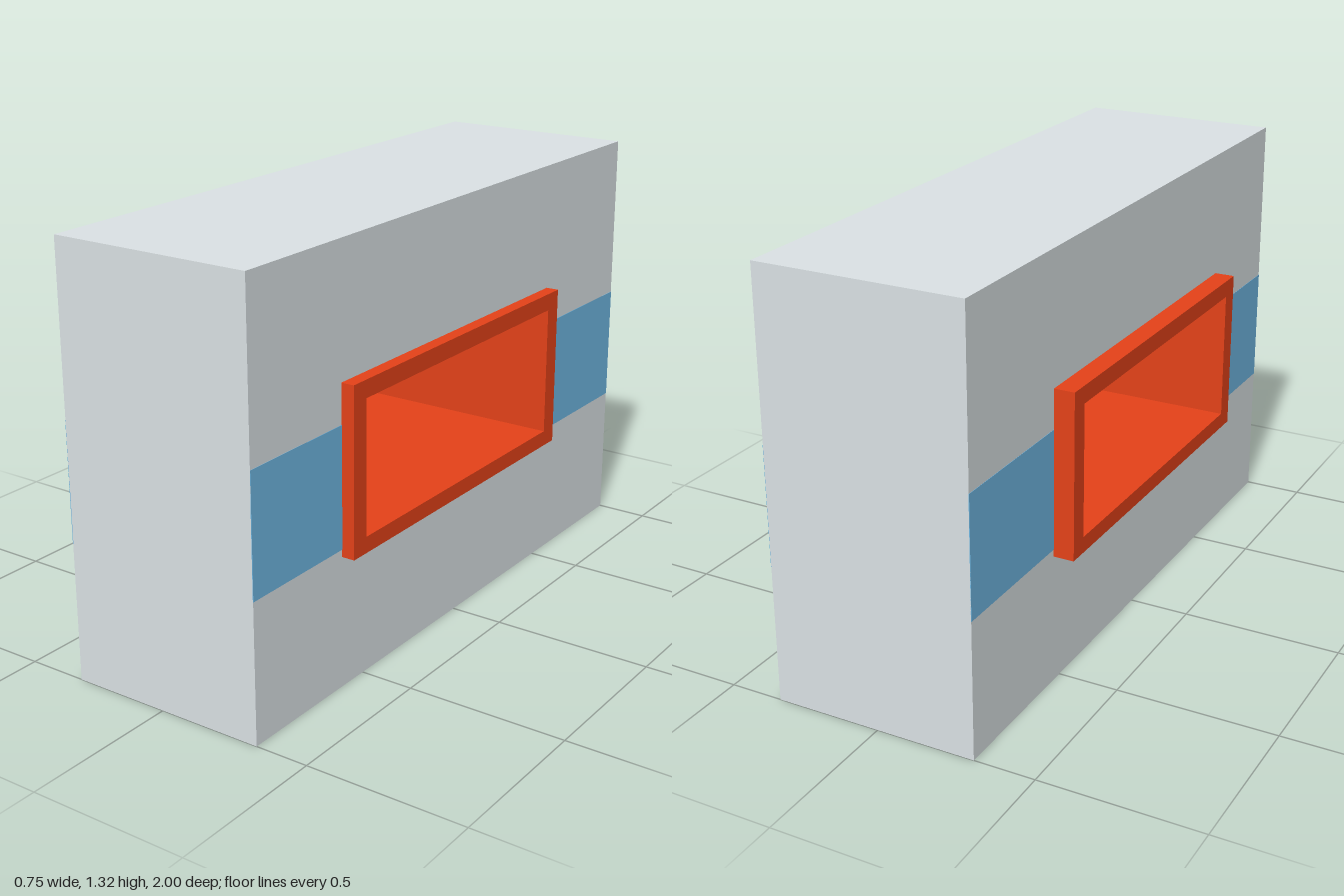
import * as THREE from 'three';

const wallGrey = new THREE.MeshStandardMaterial({ name: 'wallGrey', color: 0xdbe2e5 });
const stripeBlue = new THREE.MeshStandardMaterial({ name: 'stripeBlue', color: 0x70b8e4 });
const frameRed = new THREE.MeshStandardMaterial({ name: 'frameRed', color: 0xe54219 });

// Rectangles in the plane of the wall: z and y ranges
const WALL = { z0: -1, z1: 1, y0: 0, y1: 1.324 };
const FRAME = { z0: -0.537, z1: 0.6, y0: 0.407, y1: 0.923 };
const OPENING = { z0: -0.477, z1: 0.54, y0: 0.457, y1: 0.869 };
const STRIPE = { y0: 0.43, y1: 0.801 };
const WALL_X = [-0.311, 0.333];
const FRAME_X = [-0.375, 0.374];

function corners({ z0, z1, y0, y1 }) {
  return [[-z1, y0], [-z0, y0], [-z0, y1], [-z1, y1]].map(([u, v]) => new THREE.Vector2(u, v));
}

// Slab with a rectangular hole, running along x
function piercedSlab(name, outer, hole, [x0, x1], material) {
  const shape = new THREE.Shape(corners(outer));
  shape.holes.push(new THREE.Path(corners(hole).reverse()));
  const geometry = new THREE.ExtrudeGeometry(shape, { depth: x1 - x0, bevelEnabled: false });
  geometry.rotateY(Math.PI / 2).translate(x0, 0, 0);
  const mesh = new THREE.Mesh(geometry, material);
  mesh.name = name;
  return mesh;
}

export function createModel() {
  const model = new THREE.Group();
  model.name = 'wallWithWindow';

  // Wall with its cut-out, and the frame lining that cut-out
  model.add(piercedSlab('wall', WALL, FRAME, WALL_X, wallGrey));
  model.add(piercedSlab('windowFrame', FRAME, OPENING, FRAME_X, frameRed));

  // Painted stripe on both faces, interrupted by the frame
  const thickness = 0.002;
  for (const x of WALL_X) {
    for (const [z0, z1] of [[WALL.z0, FRAME.z0], [FRAME.z1, WALL.z1]]) {
      const stripe = new THREE.Mesh(
        new THREE.BoxGeometry(thickness, STRIPE.y1 - STRIPE.y0, z1 - z0), stripeBlue);
      stripe.position.set(x, (STRIPE.y0 + STRIPE.y1) / 2, (z0 + z1) / 2);
      stripe.name = 'stripe';
      model.add(stripe);
    }
  }
  return model;
}
